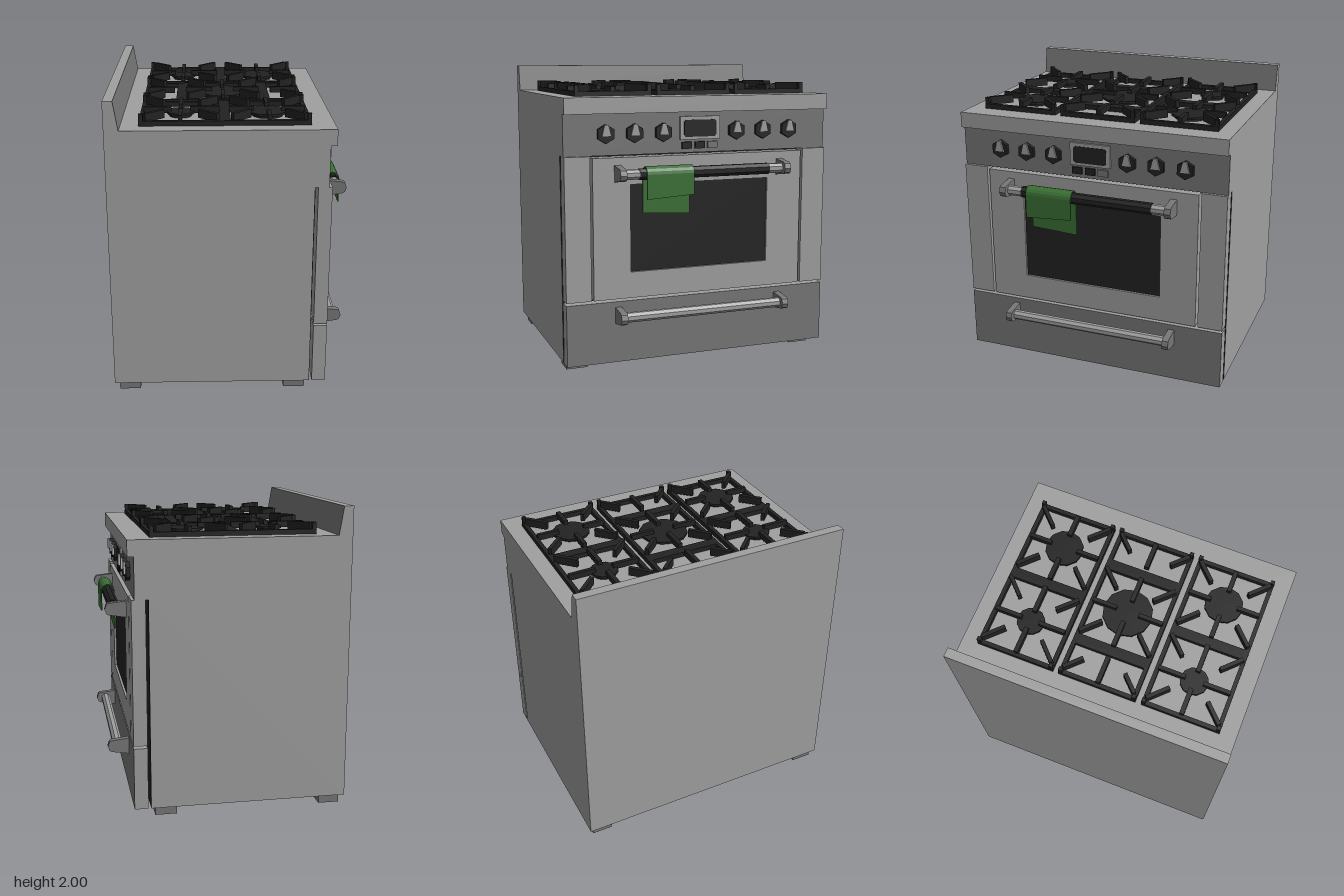
import * as THREE from 'three';

const mat = (name, color) => {
  const m = new THREE.MeshStandardMaterial({ color });
  m.name = name;
  return m;
};

export function createModel() {
  const root = new THREE.Group();
  root.name = 'range';
  const steel = mat('steel', 0xa0a0a0);
  const darkSteel = mat('darkSteel', 0x777777);
  const black = mat('black', 0x222222);
  const green = mat('green', 0x3a7034);

  const group = (name, parent = root) => {
    const g = new THREE.Group();
    g.name = name;
    parent.add(g);
    return g;
  };
  const add = (name, geo, material, parent = root) => {
    const m = new THREE.Mesh(geo, material);
    m.name = name;
    parent.add(m);
    return m;
  };
  // Box given by its limits
  const box = (name, material, [x0, x1], [y0, y1], [z0, z1], parent = root) => {
    const geo = new THREE.BoxGeometry(x1 - x0, y1 - y0, z1 - z0);
    geo.translate((x0 + x1) / 2, (y0 + y1) / 2, (z0 + z1) / 2);
    return add(name, geo, material, parent);
  };
  const polygon = (pts) => new THREE.Shape(pts.map(([x, y]) => new THREE.Vector2(x, y)));
  // Side profile in x,y swept along z between two limits
  const sweep = (pts, z0, z1) =>
    new THREE.ExtrudeGeometry(polygon(pts), { depth: z1 - z0, bevelEnabled: false }).translate(0, 0, z0);
  // Front outline swept along x; its horizontal axis becomes -z
  const frontPlate = (shape, x0, x1) =>
    new THREE.ExtrudeGeometry(shape, { depth: x1 - x0, bevelEnabled: false }).rotateY(Math.PI / 2).translate(x0, 0, 0);
  const rod = (r, z0, z1, x, y) =>
    new THREE.CylinderGeometry(r, r, z1 - z0, 8).toNonIndexed().rotateX(Math.PI / 2).rotateZ(Math.PI / 8).translate(x, y, (z0 + z1) / 2);
  [steel, darkSteel, black, green].forEach((m) => { m.flatShading = true; });

  // Cabinet with overhanging top and raised back
  const W = 0.933;
  add('cabinet', sweep([
    [-0.783, 0.06], [0.525, 0.06], [0.525, 1.44], [0.612, 1.44], [0.612, 1.71],
    [0.655, 1.71], [0.655, 1.815], [-0.692, 1.815], [-0.722, 2], [-0.783, 2],
  ], -W, W), steel);
  add('backsplashFace', sweep([[-0.69, 1.815], [-0.72, 2], [-0.723, 2], [-0.693, 1.815]], -W, W), darkSteel);
  box('cabinetFront', black, [0.522, 0.527], [0.062, 1.44], [-W, W]);
  box('controlPanel', darkSteel, [0.61, 0.615], [1.44, 1.71], [-W, W]);
  for (const x of [[-0.752, -0.612], [0.355, 0.498]])
    for (const z of [[0.762, 0.905], [-0.905, -0.762]]) box('foot', darkSteel, x, [0, 0.06], z);

  // Oven door with recessed window, side posts and drawer
  const doorShape = polygon([[-0.747, 0.49], [0.747, 0.49], [0.747, 1.427], [-0.747, 1.427]]);
  doorShape.holes.push(new THREE.Path([[-0.493, 0.665], [-0.493, 1.248], [0.493, 1.248], [0.493, 0.665]]
    .map(([x, y]) => new THREE.Vector2(x, y))));
  add('ovenDoor', frontPlate(doorShape, 0.545, 0.635), steel);
  box('ovenWindow', black, [0.55, 0.62], [0.66, 1.253], [-0.498, 0.498]);
  box('leftPost', steel, [0.545, 0.635], [0.49, 1.44], [-W, -0.763]);
  box('rightPost', steel, [0.545, 0.635], [0.49, 1.44], [0.763, W]);
  box('drawer', [darkSteel, steel, steel, steel, steel, steel], [0.545, 0.635], [0.06, 0.473], [-W, W]);

  // Handles
  const bracket = [[0.635, -0.055], [0.75, -0.037], [0.766, -0.028], [0.777, 0], [0.766, 0.034], [0.752, 0.042], [0.635, 0.055]];
  const handle = (name, y, r) => {
    const g = group(name);
    for (const z of [-0.58, 0.58])
      add('bracket', sweep(bracket.map(([px, py]) => [px, py + y]), z - 0.022, z + 0.022), darkSteel, g);
    add('bar', rod(r, -0.57, 0.57, 0.708, y), steel, g);
    return g;
  };
  const doorHandle = handle('doorHandle', 1.322, 0.034);
  add('grip', rod(0.039, -0.46, 0.46, 0.708, 1.322), black, doorHandle);
  handle('drawerHandle', 0.38, 0.034);

  // Towel folded over the door handle, hems slightly slanted
  const arc = (r, flip) => {
    const pts = [];
    for (let i = 0; i <= 8; i++) {
      const a = Math.PI * (flip ? i / 8 : 1 - i / 8);
      pts.push([0.705 + r * Math.cos(a), 1.322 + r * Math.sin(a)]);
    }
    return pts;
  };
  const towel = sweep([[0.655, 1.05], ...arc(0.05, false), [0.755, 1.17], [0.747, 1.17], ...arc(0.042, true), [0.663, 1.05]], 0.092, 0.417);
  const p = towel.attributes.position;
  for (let i = 0; i < p.count; i++) {
    if (p.getY(i) > 1.25) continue;
    const slant = p.getX(i) > 0.7 ? -0.01 : 0.009;
    p.setY(i, p.getY(i) + (p.getZ(i) > 0.25 ? slant : -slant));
  }
  towel.computeVertexNormals();
  add('towel', towel, green);

  // Knobs, display and buttons
  for (const z of [0.655, 0.46, 0.263, -0.26, -0.455, -0.652]) {
    const knob = group('knob');
    knob.position.set(0.615, 1.58, z);
    add('knobBase', new THREE.CylinderGeometry(0.062, 0.062, 0.028, 6).rotateY(Math.PI / 6)
      .rotateZ(-Math.PI / 2).translate(0.014, 0, 0), black, knob);
    add('pointer', frontPlate(polygon([[-0.032, -0.015], [0.032, -0.015], [0.013, 0.06], [-0.013, 0.06]]), 0.026, 0.041), steel, knob);
  }
  box('displayFrame', steel, [0.612, 0.63], [1.527, 1.68], [-0.14, 0.143]);
  const s = polygon([[-0.118, 1.56], [-0.105, 1.545], [0.1, 1.545], [0.113, 1.56], [0.113, 1.645], [0.1, 1.657], [-0.105, 1.657], [-0.118, 1.645]]);
  add('displayScreen', frontPlate(s, 0.628, 0.634), black);
  [[0.06, 0.13, black], [-0.032, 0.038, black], [-0.122, -0.052, darkSteel]].forEach(([a, b, m]) =>
    box('button', m, [0.612, 0.63], [1.466, 1.512], [a, b]));

  // Cast grates: bars run between two points in plan
  const bar = (name, x0, z0, x1, z1, w, y0, y1, parent) => {
    const geo = new THREE.BoxGeometry(Math.hypot(x1 - x0, z1 - z0), y1 - y0, w);
    geo.rotateY(-Math.atan2(z1 - z0, x1 - x0)).translate((x0 + x1) / 2, (y0 + y1) / 2, (z0 + z1) / 2);
    add(name, geo, black, parent);
  };
  const Y0 = 1.813, Y1 = 1.847, X0 = -0.575, X1 = 0.505, H = 0.262;
  const diagonal = (x, z, dx, dz, len, g) => bar('diagonalFinger', x, z, x + dx * len, z + dz * len, 0.026, 1.835, 1.89, g);
  const frame = (zc) => {
    const g = group('grate');
    g.position.z = zc;
    for (const k of [-1, 1]) {
      bar('rail', X0, k * (H - 0.014), X1, k * (H - 0.014), 0.028, Y0, Y1, g);
      for (const x of [X0 + 0.014, X1 - 0.014]) {
        bar('endRail', x, -H, x, H, 0.028, Y0, Y1, g);
        bar('cornerPost', x - 0.013, k * (H - 0.014), x + 0.013, k * (H - 0.014), 0.026, Y0, 1.89, g);
      }
    }
    return g;
  };
  const burner = (x, r, g) => {
    add('burnerBase', new THREE.CylinderGeometry(r * 0.8, r * 0.8, 0.02, 12).translate(x, 1.822, 0), black, g);
    add('burnerCap', new THREE.CylinderGeometry(r, r, 0.015, 12).translate(x, 1.84, 0), black, g);
  };
  // One burner cell with four straight and four diagonal fingers
  const cell = (x, xa, xb, r, reach, g) => {
    burner(x, r, g);
    for (const k of [-1, 1]) {
      bar('finger', x, k * (H - 0.02), x, k * reach, 0.026, 1.835, 1.876, g);
      diagonal(xa + 0.015, k * (H - 0.02), 1, -k, 0.115, g);
      diagonal(xb - 0.015, k * (H - 0.02), -1, -k, 0.115, g);
    }
    bar('finger', xa, 0, x - reach, 0, 0.03, 1.835, 1.876, g);
    bar('finger', x + reach, 0, xb, 0, 0.03, 1.835, 1.876, g);
  };
  for (const zc of [-0.562, 0.562]) {
    const g = frame(zc);
    bar('divider', -0.035, -H, -0.035, H, 0.07, Y0, Y1, g);
    cell(-0.317, -0.555, -0.065, 0.092, 0.06, g);
    cell(0.245, -0.005, 0.485, 0.127, 0.09, g);
  }
  const mid = frame(0);
  for (const x of [-0.317, 0.247]) bar('divider', x, -H, x, H, 0.072, Y0, Y1, mid);
  cell(-0.035, -0.29, 0.22, 0.165, 0.075, mid);
  for (const [x, d] of [[-0.555, 1], [0.485, -1]]) {
    bar('finger', x, 0, x + d * 0.185, 0, 0.03, 1.835, 1.876, mid);
    for (const k of [-1, 1]) diagonal(x + d * 0.015, k * (H - 0.02), d, -k, 0.1, mid);
  }
  return root;
}
